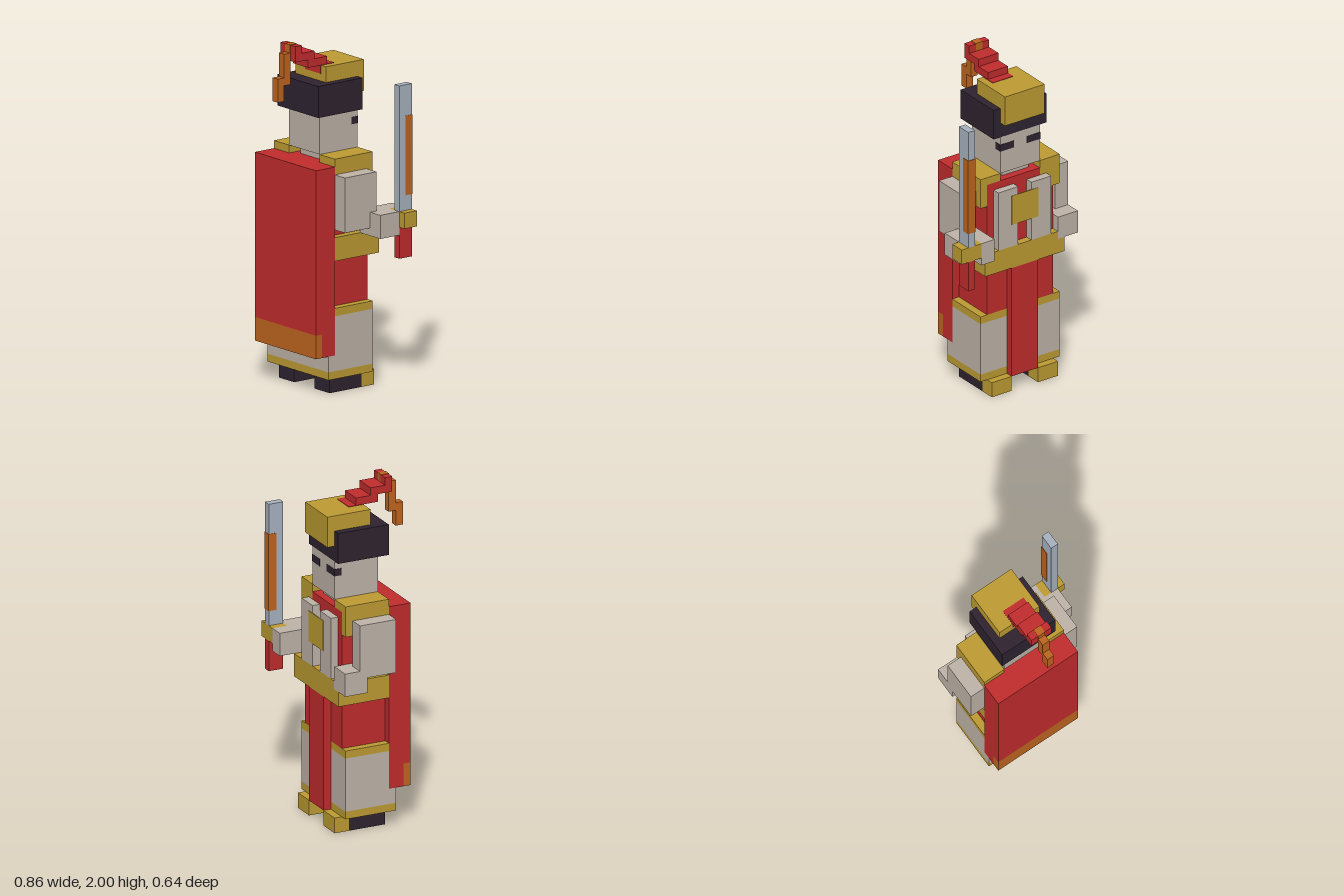
import * as THREE from 'three';

const U = 1 / 22;        // one block
const SHIFT = -1.5;      // body axis sits left of centre because of the sword
const T = 0.06;          // thickness of painted plates, in blocks

function mat(name, color) {
  const m = new THREE.MeshStandardMaterial({ color });
  m.name = name;
  return m;
}

export function createModel() {
  const red = mat('red cloth', 0xc22c2d);
  const gold = mat('gold trim', 0xbe9c33);
  const grey = mat('pale grey', 0xbfb4a9);
  const dark = mat('dark hair', 0x2e2330);
  const orange = mat('orange', 0xc0651f);
  const steel = mat('steel', 0xa9b3c0);

  const model = new THREE.Group();
  model.name = 'warrior';

  // Box from block ranges; grow makes it a thin painted skin around its host
  function box(parent, name, m, x, y, z, grow = 0) {
    const size = [x, y, z].map(([a, b]) => (b - a + 2 * grow) * U);
    const mesh = new THREE.Mesh(new THREE.BoxGeometry(...size), m);
    mesh.name = name;
    mesh.position.set(((x[0] + x[1]) / 2 + SHIFT) * U, (y[0] + y[1]) / 2 * U, (z[0] + z[1]) / 2 * U);
    parent.add(mesh);
  }
  function part(name) {
    const g = new THREE.Group();
    g.name = name;
    model.add(g);
    return g;
  }
  const mirror = (s, a, b) => (s > 0 ? [a, b] : [-b, -a]);

  // Robe, tabard and belt
  const robe = part('robe');
  box(robe, 'hem', gold, [-6, 6], [2, 3], [-4, 3]);
  box(robe, 'skirtBase', grey, [-6, 6], [3, 5], [-4, 3]);
  box(robe, 'skirt', grey, [-6, 6], [5, 10], [-4, 2]);
  box(robe, 'skirtTrim', gold, [-6, 6], [10, 11], [-4, 2]);
  box(robe, 'hips', red, [-5, 5], [11, 17], [-4, 2]);
  box(robe, 'tabard', red, [-2, 2], [2, 17], [-5, -4]);
  box(robe, 'belt', gold, [-6, 6], [17, 20], [-5, 2]);
  box(robe, 'torso', red, [-5, 5], [20, 29], [-4, 2]);
  box(robe, 'chestPlate', gold, [-2, 2], [23, 27], [-5 - T, -5 + T]);

  // Mirrored feet, lapels and shoulder pads
  for (const s of [1, -1]) {
    box(robe, 'foot', dark, mirror(s, 2, 5), [0, 2], [-3, 2]);
    box(robe, 'toe', gold, mirror(s, 2, 5), [0, 2], [-5, -3]);
    box(robe, 'lapel', grey, mirror(s, 1, 4), [20, 28], [-5, -4]);
    box(robe, 'shoulderPad', gold, mirror(s, 3, 6), [26, 30], [-4, 2]);
    box(robe, 'upperArm', grey, mirror(s, 6, 8), [21, 28], [-3, 2]);
  }

  // Cape with a coloured border
  const cape = part('cape');
  box(cape, 'capeUpper', red, [-6, 6], [8, 29], [2, 5]);
  box(cape, 'capeLower', red, [-6, 6], [5, 8], [2, 4]);
  box(cape, 'capeBorder', orange, [-6, 6], [5, 8], [4, 5]);

  // Forearms
  const arms = part('forearms');
  box(arms, 'freeForearm', grey, [-8, -5], [19, 22], [-5 - T, -2]);
  box(arms, 'swordForearm', grey, [6, 10], [20, 23], [-5, -2]);
  box(arms, 'swordHand', grey, [6, 8], [20, 23], [-7, -5]);

  // Sword
  const sword = part('sword');
  box(sword, 'grip', red, [9, 10], [17, 21], [-7, -5]);
  box(sword, 'guard', gold, [8, 11], [21, 23], [-7, -5]);
  box(sword, 'blade', steel, [9, 10], [23, 39], [-7, -5]);
  box(sword, 'bladeEdge', orange, [9, 10], [25, 35], [-7, -6], T);

  // Head, hair and hat
  const head = part('head');
  box(head, 'neck', grey, [-2, 2], [29, 30], [-3, 1]);
  box(head, 'face', grey, [-3, 3], [30, 35], [-4, 2]);
  for (const s of [1, -1]) box(head, 'eye', dark, mirror(s, 1, 3), [33.1, 33.9], [-4, -3.1], T);
  box(head, 'hair', dark, [-4, 4], [35, 39], [-4, 3]);
  box(head, 'hat', gold, [-3, 3], [39, 41], [-5, 1]);
  box(head, 'hatFront', gold, [-3, 3], [37, 39], [-5, -4]);

  // Stepped plume with a hanging tail
  const plume = part('plume');
  box(plume, 'plumeRoot', red, [-1, 2], [40, 41], [-1, 1], T);
  box(plume, 'plumeStep', red, [-1, 2], [41, 42], [0, 3]);
  box(plume, 'plumeStep', red, [-1, 2], [42, 43], [2, 4]);
  box(plume, 'plumeTop', red, [-1, 2], [42, 44], [4, 5]);
  box(plume, 'tailStripe', orange, [0, 1], [43, 44 + T], [4, 5 + T]);
  box(plume, 'tailUpper', orange, [0, 1], [39, 43], [5, 6]);
  box(plume, 'tailLower', orange, [0, 1], [37, 40], [6, 7]);

  return model;
}
